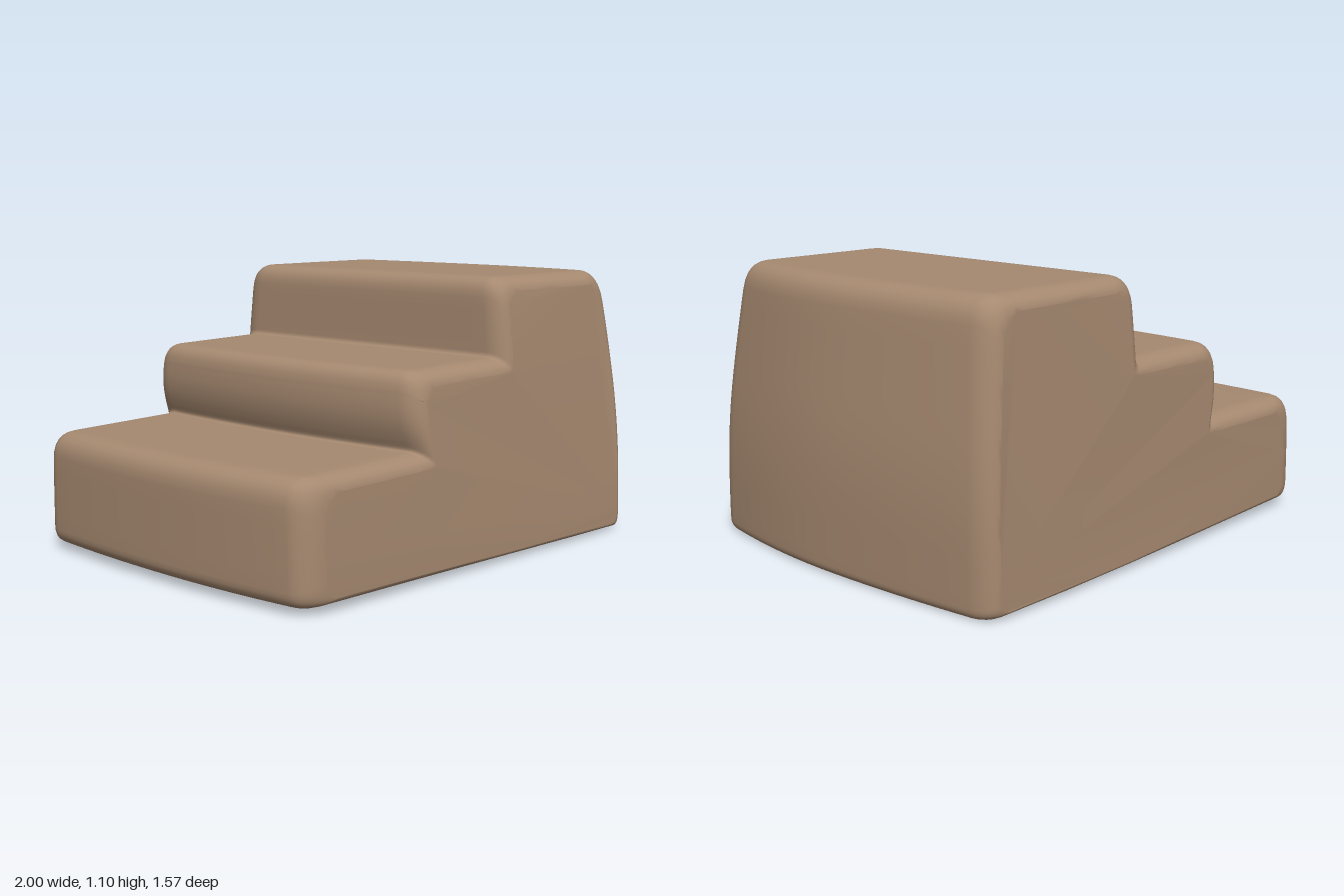
import * as THREE from 'three';

// Profile corners: x, y, rounding, inset direction x, inset direction y
const CORNERS = [
  [-1, 0.025, 0.06, 1.7, 0.5],
  [1, 0, 0.04, -1, 0.5],
  [1, 0.45, 0.2, -1, 0],
  [0.93, 1.1, 0.1, -1, -1],
  [0.135, 1.1, 0.08, 1, -1],
  [0.125, 0.79, 0.02, 1, -1],
  [-0.415, 0.783, 0.07, 1, -1],
  [-0.43, 0.6, 0.08, 1, 0],
  [-0.385, 0.485, 0.02, 1, -1],
  [-1, 0.475, 0.1, 1.7, -1],
];

// Stepped outline with rounded corners, shrunk by an inset
function profile(inset) {
  const pts = CORNERS.map(([x, y, r, sx, sy]) => new THREE.Vector2(x + sx * inset, y + sy * inset));
  const n = pts.length;
  const toward = (p, q, d) => p.clone().add(q.clone().sub(p).setLength(d));
  const arcs = pts.map((p, i) => {
    const r = CORNERS[i][2];
    return new THREE.QuadraticBezierCurve(
      toward(p, pts[(i + n - 1) % n], r), p, toward(p, pts[(i + 1) % n], r)).getPoints(6);
  });
  const out = [];
  arcs.forEach((arc, i) => {
    out.push(...arc);
    const a = arc[arc.length - 1], b = arcs[(i + 1) % n][0];
    for (let k = 1; k < 5; k++) out.push(a.clone().lerp(b, k / 5)); // subdivide straight runs
  });
  return out;
}

// Soft, slightly uneven block: sides lean in and ends bulge
function soften(p, s) {
  const half = s > 0
    ? 0.785 - 0.08 * p.y * p.y - 0.055 * Math.max(0, 0.8 - p.x)
    : 0.785 - 0.05 * p.y * p.y - 0.03 * Math.max(0, p.x) ** 2;
  const right = THREE.MathUtils.smoothstep(p.x, 0.3, 1) * (s > 0 ? 0.1 : 0.04);
  const left = 0.045 * (1 - THREE.MathUtils.smoothstep(p.x, -0.4, 0.2));
  return [p.x + (left - right) * s * s, p.y, s * half];
}

function stepsGeometry() {
  // Sections across the width, with rounded ends
  const BEVEL = 0.12, INSET = 0.055, sections = [];
  const edge = (k) => {
    const a = (k / 6) * Math.PI / 2;
    return { s: 1 - BEVEL * (1 - Math.sin(a)), inset: INSET * (1 - Math.cos(a)) };
  };
  for (let k = 6; k > 0; k--) sections.push({ s: -edge(k).s, inset: edge(k).inset });
  for (let k = 0; k <= 16; k++) sections.push({ s: (1 - BEVEL) * (k / 8 - 1), inset: 0 });
  for (let k = 1; k <= 6; k++) sections.push(edge(k));

  const positions = [], index = [];
  const loops = sections.map(({ inset }) => profile(inset));
  const n = loops[0].length;
  loops.forEach((loop, i) => loop.forEach((p) => positions.push(...soften(p, sections[i].s))));
  for (let i = 0; i < loops.length - 1; i++) {
    for (let j = 0; j < n; j++) {
      const a = i * n + j, b = i * n + (j + 1) % n;
      index.push(a, b, b + n, a, b + n, a + n);
    }
  }
  // End faces
  const last = (loops.length - 1) * n;
  for (const [a, b, c] of THREE.ShapeUtils.triangulateShape(loops[0], [])) {
    index.push(a, c, b, last + a, last + b, last + c);
  }
  const geometry = new THREE.BufferGeometry();
  geometry.setAttribute('position', new THREE.Float32BufferAttribute(positions, 3));
  geometry.setIndex(index);
  geometry.computeVertexNormals();
  return geometry;
}

export function createModel() {
  const group = new THREE.Group();
  group.name = 'softSteps';
  const foam = new THREE.MeshStandardMaterial({ color: 0xa68970 });
  foam.name = 'warm tan';
  const steps = new THREE.Mesh(stepsGeometry(), foam);
  steps.name = 'steps';
  group.add(steps);
  return group;
}
